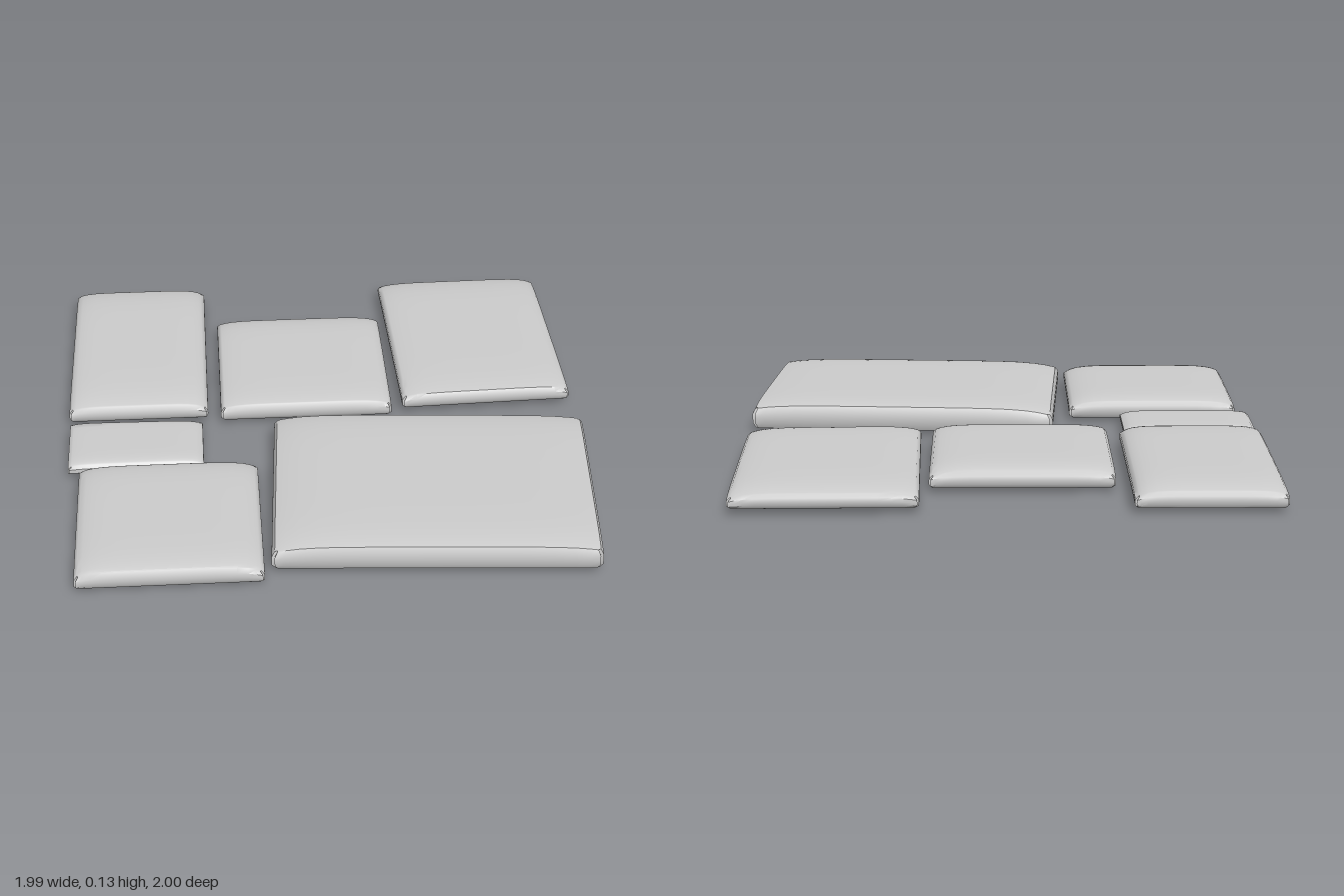
import * as THREE from 'three';
import { mergeVertices, toCreasedNormals } from 'three/addons/utils/BufferGeometryUtils.js';

const material = new THREE.MeshStandardMaterial({ color: 0xcccccc });

// corners [x, z]: back left of plan, back right, front right, front left.
// top / bottom: heights at the middle; dropX / dropZ: [low end, high end] edge
// falls of the top; rise: lift of the underside at the rim.
const slabs = [
  { name: 'largeSlab', corners: [[-0.2, 0.055], [0.995, 0.135], [0.93, 1.0], [-0.25, 0.925]],
    top: 0.135, bottom: 0.008, dropX: [0.025, 0.015], dropZ: [0.015, 0.015], rise: 0.018 },
  { name: 'frontSquareSlab', corners: [[-0.95, 0.315], [-0.275, 0.315], [-0.275, 0.99], [-0.95, 0.99]],
    top: 0.103, bottom: 0.012, dropX: [0.02, 0.025], dropZ: [0.015, 0.015], rise: 0.008 },
  { name: 'smallSlab', corners: [[-0.995, -0.02], [-0.478, -0.01], [-0.478, 0.285], [-0.995, 0.285]],
    top: 0.07, bottom: 0.015, dropX: [0.008, 0.012], dropZ: [0.005, 0.01], rise: 0.008 },
  { name: 'backTallSlab', corners: [[-0.995, -0.985], [-0.455, -0.985], [-0.455, -0.065], [-1.0, -0.065]],
    top: 0.108, bottom: 0.012, dropX: [0.015, 0.022], dropZ: [0.02, 0.018], rise: 0.015 },
  { name: 'middleSquareSlab', corners: [[-0.405, -0.72], [0.27, -0.72], [0.27, 0.045 - 0.09], [-0.405, -0.045]],
    top: 0.103, bottom: 0.012, dropX: [0.015, 0.018], dropZ: [0.018, 0.012], rise: 0.012 },
  { name: 'backWideSlab', corners: [[0.295, -0.99], [0.965, -1.0], [0.985, -0.1], [0.315, -0.075]],
    top: 0.105, bottom: 0.012, dropX: [0.015, 0.018], dropZ: [0.02, 0.012], rise: 0.02 },
];

// A box bent into a worn stone: quadrilateral plan, crowned top, tapered underside
function slabGeometry({ corners, top, bottom, dropX, dropZ, rise }) {
  const [a, b, c, d] = corners;
  const box = new THREE.BoxGeometry(2, 2, 2, 16, 4, 16);
  const p = box.attributes.position;
  const width = (b[0] - a[0]) / 2, depth = (d[1] - a[1]) / 2;
  const ease = (t) => Math.sin((t * Math.PI) / 2);
  const lerp = THREE.MathUtils.lerp;
  for (let i = 0; i < p.count; i++) {
    let u = ease(p.getX(i)), v = ease(p.getZ(i));
    const w = p.getY(i);
    const eu = Math.abs(u) ** 6, ev = Math.abs(v) ** 6;
    const high = top - eu * dropX[u < 0 ? 0 : 1] - ev * dropZ[v < 0 ? 0 : 1];
    const low = bottom + rise * Math.max(eu, ev);
    const y = lerp(low, high, (w + 1) / 2);

    // Rounded rim and slightly clipped corners
    const inset = 0.012 * w ** 4 + 0.012 * (Math.abs(u * v) > 0.995 ? 1 : 0);
    u *= 1 - inset / width * Math.abs(u) ** 8;
    v *= 1 - inset / depth * Math.abs(v) ** 8;

    const s = (u + 1) / 2, t = (v + 1) / 2;
    const at = (k) => lerp(lerp(a[k], b[k], s), lerp(d[k], c[k], s), t);
    p.setXYZ(i, at(0), y, at(1));
  }
  box.deleteAttribute('normal');
  box.deleteAttribute('uv');
  return toCreasedNormals(mergeVertices(box, 1e-5), 0.7);
}

export function createModel() {
  const group = new THREE.Group();
  group.name = 'pavingStones';
  for (const slab of slabs) {
    const mesh = new THREE.Mesh(slabGeometry(slab), material);
    mesh.name = slab.name;
    // Rest the stones on the ground
    mesh.position.y = -0.008;
    group.add(mesh);
  }
  // Keep the underside of the lowest stone just touching y = 0
  const lowest = new THREE.Box3().setFromObject(group).min.y;
  group.children.forEach((m) => { m.position.y -= lowest; });
  return group;
}
